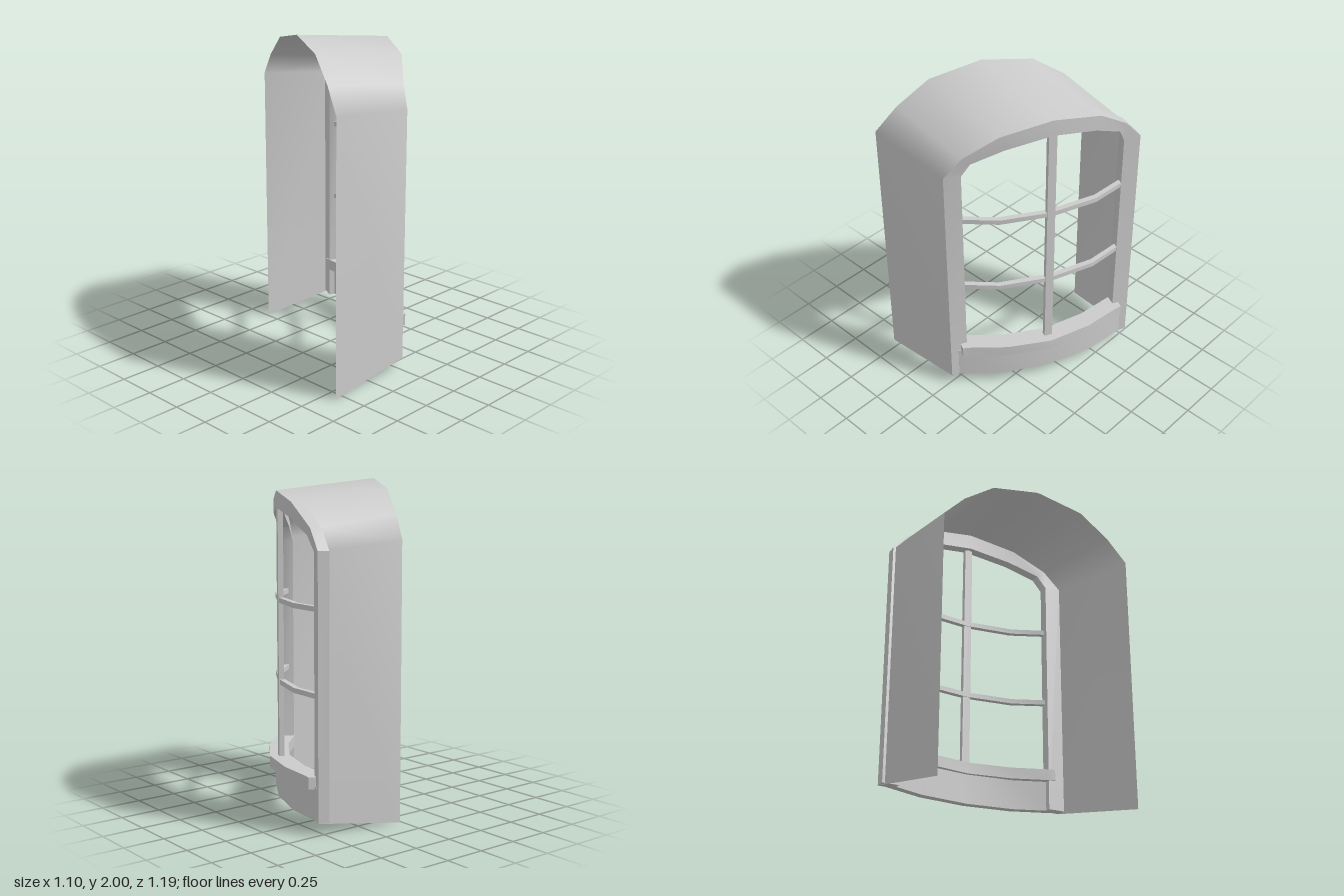
import * as THREE from 'three';
import { toCreasedNormals } from 'three/addons/utils/BufferGeometryUtils.js';

const material = new THREE.MeshStandardMaterial({ color: 0xcccccc, side: THREE.DoubleSide });

function mesh(name, geometry) {
  const m = new THREE.Mesh(geometry, material);
  m.name = name;
  return m;
}

// Mirror a half outline (edge to centre) into a full one, left to right
const mirror = half => [
  ...half.map(([u, ...rest]) => [-u, ...rest]),
  ...half.slice(0, -1).reverse(),
];

// Solid through a row of four-cornered sections, capped at both ends
function loft(sections) {
  const pos = [];
  const quad = (a, b, c, d) => pos.push(...a, ...b, ...c, ...a, ...c, ...d);
  for (let i = 0; i < sections.length - 1; i++) {
    const a = sections[i], b = sections[i + 1];
    for (let j = 0; j < 4; j++) {
      const k = (j + 1) % 4;
      quad(a[j], a[k], b[k], b[j]);
    }
  }
  const s = sections[0], e = sections[sections.length - 1];
  quad(s[3], s[2], s[1], s[0]);
  quad(e[0], e[1], e[2], e[3]);
  const g = new THREE.BufferGeometry();
  g.setAttribute('position', new THREE.Float32BufferAttribute(pos, 3));
  return toCreasedNormals(g, 0.6);
}

// Horizontal bar following a bowed plan curve of [across, forward] points
function bowedBar(name, halfCurve, y0, y1, front, back) {
  return mesh(name, loft(mirror(halfCurve).map(([u, w]) => [
    [u, y1, w + front], [u, y0, w + front], [u, y0, w + back], [u, y1, w + back],
  ])));
}

// Half outlines of the front frame: [across, up, forward]
const outer = mirror([
  [0.605, 0.07, -0.125], [0.605, 1.61, -0.125], [0.5, 1.73, -0.105],
  [0.303, 1.87, -0.034], [0, 1.93, 0],
]);
const inner = mirror([
  [0.5, 0.07, -0.125], [0.5, 1.6, -0.125], [0.455, 1.69, -0.095],
  [0.275, 1.78, -0.031], [0, 1.83, 0],
]);

// Thin vaulted shell from the window outline to a straight, skewed rear edge
function hoodGeometry() {
  const rear = mirror([[0.655, 0], [0.655, 1.66], [0.52, 1.8], [0.32, 1.94], [0, 2]]);
  const pos = [], index = [];
  outer.forEach((p, i) => pos.push(...p, rear[i][0] - 0.187, rear[i][1], -0.642));
  for (let i = 0; i < outer.length - 1; i++) {
    const f = i * 2, b = f + 1;
    index.push(f, f + 2, b + 2, f, b + 2, b);
  }
  const g = new THREE.BufferGeometry();
  g.setAttribute('position', new THREE.Float32BufferAttribute(pos, 3));
  g.setIndex(index);
  g.computeVertexNormals();
  return g;
}

export function createModel() {
  const model = new THREE.Group();
  model.name = 'archedDormerWindow';

  // Everything is built facing the window, then turned to the side
  const dormer = new THREE.Group();
  dormer.name = 'dormer';
  dormer.position.set(0.39, 0, 0.1);
  dormer.rotation.y = 1.122;
  model.add(dormer);

  dormer.add(mesh('hood', hoodGeometry()));

  // Posts and arch in one sweep
  const depth = 0.065;
  dormer.add(mesh('archedFrame', loft(outer.map((o, i) => {
    const n = inner[i];
    return [o, n, [n[0], n[1], n[2] - depth], [o[0], o[1], o[2] - depth]];
  }))));

  // Board and sill below the opening
  dormer.add(bowedBar('bottomBoard', [[0.556, -0.123], [0.303, -0.034], [0, 0]], 0.07, 0.27, 0, -0.05));
  dormer.add(bowedBar('sill', [[0.54, -0.132], [0.5, -0.123], [0.275, -0.042], [0, 0]], 0.255, 0.325, 0.05, -0.07));

  // Glazing bars
  for (const y of [0.785, 1.28]) {
    dormer.add(bowedBar('glazingBar', [[0.51, -0.125], [0.303, -0.036], [0, 0]], y - 0.015, y + 0.015, -0.006, -0.04));
  }
  const mullion = mesh('mullion', new THREE.BoxGeometry(0.05, 1.53, 0.032));
  mullion.position.set(0, 1.08, -0.02);
  dormer.add(mullion);

  return model;
}
